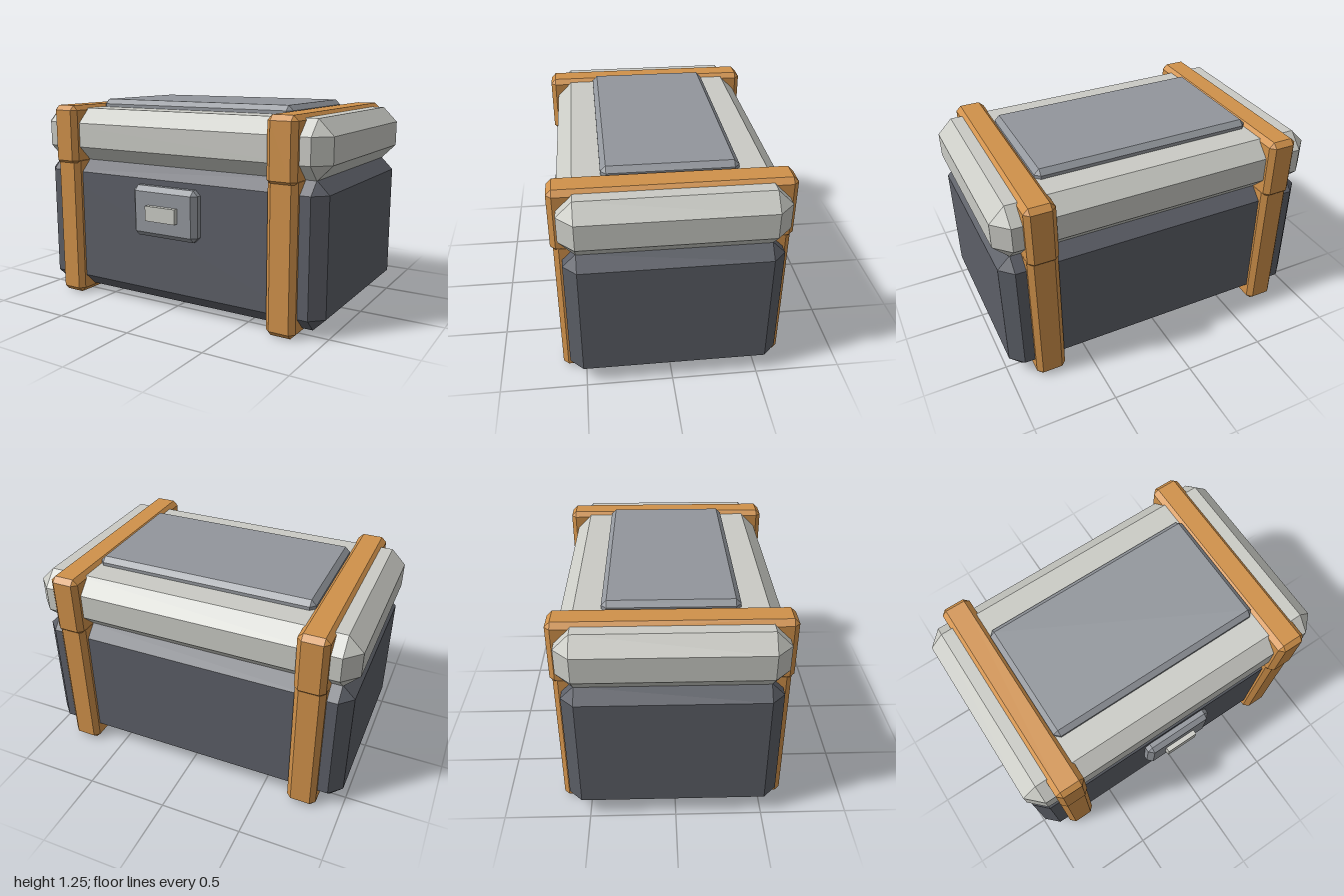
import * as THREE from 'three';
import { ConvexGeometry } from 'three/addons/geometries/ConvexGeometry.js';

const material = (name, color) => {
  const m = new THREE.MeshStandardMaterial({ color });
  m.name = name;
  return m;
};

// Box between two corners with every edge cut at 45 degrees by c
function chamferBox([x0, y0, z0], [x1, y1, z1], c) {
  const size = [x1 - x0, y1 - y0, z1 - z0].map((s) => s / 2);
  const points = [];
  for (let axis = 0; axis < 3; axis++) {
    for (const sx of [-1, 1]) for (const sy of [-1, 1]) for (const sz of [-1, 1]) {
      const p = [sx, sy, sz].map((s, i) => s * (size[i] - (i === axis ? 0 : c)));
      points.push(new THREE.Vector3(...p));
    }
  }
  const geometry = new ConvexGeometry(points);
  geometry.translate((x0 + x1) / 2, (y0 + y1) / 2, (z0 + z1) / 2);
  return geometry;
}

export function createModel() {
  const group = new THREE.Group();
  group.name = 'chest';

  const slate = material('dark slate', 0x5c5f67);
  const pale = material('pale grey', 0xcacbc5);
  const orange = material('orange strap', 0xd0914a);
  const steel = material('steel grey', 0x92969c);

  const add = (name, geometry, mat) => {
    const mesh = new THREE.Mesh(geometry, mat);
    mesh.name = name;
    group.add(mesh);
  };

  // Main box and overhanging lid, meeting in a notch
  add('body', chamferBox([-0.985, 0.04, -0.62], [0.985, 0.875, 0.59], 0.075), slate);
  add('lid', chamferBox([-1, 0.87, -0.635], [1, 1.2, 0.605], 0.09), pale);
  add('lidPanel', chamferBox([-0.68, 1.15, -0.395], [0.68, 1.25, 0.362], 0.03), steel);

  // Straps: a lower band and a slightly larger band around the lid
  for (const [side, x] of [['right', -0.757], ['left', 0.757]]) {
    const w = 0.09;
    add(`${side}LowerStrap`, chamferBox([x - w, 0, -0.665], [x + w, 0.9, 0.635], 0.03), orange);
    add(`${side}UpperStrap`, chamferBox([x - w, 0.843, -0.68], [x + w, 1.22, 0.65], 0.03), orange);
  }

  // Front latch
  add('latchPlate', chamferBox([-0.227, 0.458, 0.55], [0.227, 0.765, 0.65], 0.03), steel);
  const button = new THREE.BoxGeometry(0.21, 0.09, 0.08);
  button.translate(0, 0.61, 0.64);
  add('latchButton', button, pale);

  return group;
}
